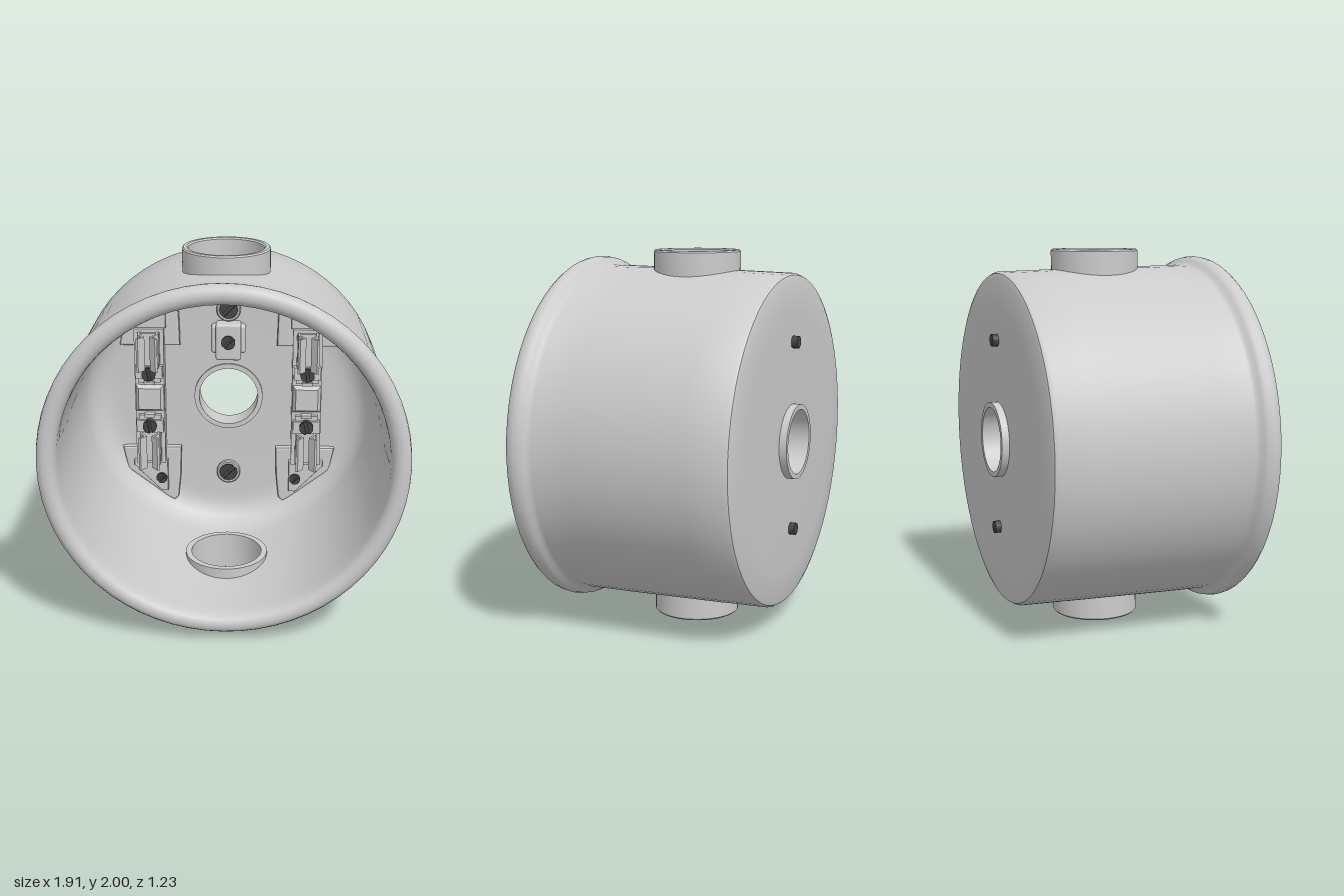
import * as THREE from 'three';
import { mergeGeometries, toCreasedNormals } from 'three/addons/utils/BufferGeometryUtils.js';
import { RoundedBoxGeometry } from 'three/addons/geometries/RoundedBoxGeometry.js';

const grey = new THREE.MeshStandardMaterial({ color: 0xcccccc });
const dark = new THREE.MeshStandardMaterial({ color: 0x444444 });
const SEG = 64, SECTOR = Math.PI / 8;
const PORT_Z = -0.03, HALF = 0.3, Z0 = PORT_Z - HALF, Z1 = PORT_Z + HALF;
const FLOOR = -0.49;
const outerR = z => 0.9 + 0.02 * z;
const innerR = z => 0.832 + 0.04 * z;

function add(parent, name, geometry, material = grey) {
  const mesh = new THREE.Mesh(geometry, material);
  mesh.name = name;
  parent.add(mesh);
  return mesh;
}

// Smooth normals with sharp corners, on a scaled copy so small details stay distinct
function crease(geometry, angle = 0.62) {
  geometry.scale(100, 100, 100);
  return toCreasedNormals(geometry, angle).scale(0.01, 0.01, 0.01);
}

const lathe = (points, segments = SEG, start = 0, length = Math.PI * 2) =>
  new THREE.LatheGeometry(points.map(p => new THREE.Vector2(...p)), segments, start, length);

// Lathe turned about the z axis; profile is [radius, z]
const turned = (...args) => lathe(...args).rotateX(Math.PI / 2);

function box(parent, name, x, y, w, h, z0, z1) {
  return add(parent, name, new THREE.BoxGeometry(w, h, z1 - z0).translate(x, y, (z0 + z1) / 2));
}

function prism(points, z0, z1, bevel = 0) {
  const shape = new THREE.Shape(points.map(p => new THREE.Vector2(...p)));
  return new THREE.ExtrudeGeometry(shape, {
    depth: z1 - z0 - bevel, bevelEnabled: bevel > 0, bevelSize: bevel,
    bevelThickness: bevel, bevelOffset: -bevel, bevelSegments: 2
  }).translate(0, 0, z0);
}

// Wall patch that blends a round port opening into a rectangle of the wall
function portPatch(side, outer) {
  const R = outer ? outerR : innerR, rings = 5, n = 32, pos = [], index = [];
  for (let i = 0; i < n; i++) {
    const t = (i % 8) / 4 - 1;
    const [u, v] = [[1, t], [-t, 1], [-1, -t], [t, -1]][Math.floor(i / 8)];
    const a = Math.atan2(v, u);
    const cz = PORT_Z + 0.215 * Math.sin(a);
    const ct = Math.asin(0.215 * Math.cos(a) / R(cz));
    for (let k = 0; k <= rings; k++) {
      const theta = THREE.MathUtils.lerp(ct, u * SECTOR, k / rings);
      const z = THREE.MathUtils.lerp(cz, PORT_Z + v * HALF, k / rings);
      pos.push(R(z) * Math.sin(theta), side * R(z) * Math.cos(theta), z);
      if (k === rings) continue;
      const p = i * (rings + 1) + k, q = ((i + 1) % n) * (rings + 1) + k;
      if ((side > 0) === outer) index.push(p, q, p + 1, q, q + 1, p + 1);
      else index.push(p, p + 1, q, q, p + 1, q + 1);
    }
  }
  const g = new THREE.BufferGeometry();
  g.setAttribute('position', new THREE.Float32BufferAttribute(pos, 3));
  g.setIndex(index);
  return g;
}

function housing() {
  const lip = [[outerR(Z1), Z1], [0.909, 0.48], [0.917, 0.5], [0.935, 0.512], [0.949, 0.532],
    [0.955, 0.56], [0.95, 0.587], [0.936, 0.607], [0.915, 0.617], [0.89, 0.617], [0.869, 0.607],
    [0.856, 0.59], [0.85, 0.565], [0.848, 0.5], [innerR(Z1), Z1]];
  const back = [[innerR(Z0), Z0], [0.809, -0.375], [0.79, -0.415], [0.762, -0.448], [0.725, -0.472],
    [0.68, -0.486], [0.62, FLOOR], [0.2, FLOOR], [0.2, -0.475], [0.172, -0.475], [0.172, -0.618],
    [0.2, -0.618], [0.2, -0.578], [0.7, -0.578], [0.855, -0.572], [0.877, -0.564], [0.888, -0.545],
    [outerR(Z0), Z0]];
  const parts = [turned(lip), turned(back)];
  for (const start of [SECTOR, Math.PI + SECTOR]) {
    const wall = pts => turned(pts, 24, start, Math.PI - 2 * SECTOR);
    parts.push(wall([[outerR(Z0), Z0], [outerR(Z1), Z1]]), wall([[innerR(Z1), Z1], [innerR(Z0), Z0]]));
  }
  for (const side of [1, -1]) for (const outer of [true, false]) parts.push(portPatch(side, outer));
  const bare = parts.map(g => {
    const p = g.toNonIndexed();
    for (const key of ['normal', 'uv']) p.deleteAttribute(key);
    return p;
  });
  return crease(mergeGeometries(bare)).translate(0, 1, 0);
}

// Slotted screw head facing the front, z is its top
function screw(parent, name, x, y, z, r, height, turn = Math.PI / 4) {
  const g = new THREE.Group();
  g.name = name;
  g.position.set(x, y, z);
  g.rotation.z = turn;
  add(g, 'screwBody', new THREE.CylinderGeometry(r, r, height, 20).rotateX(Math.PI / 2)
    .translate(0, 0, -height / 2 - 0.012), dark);
  for (const s of [0, Math.PI]) {
    const half = new THREE.Shape().absarc(0, 0, r, 0.2, Math.PI - 0.2, false);
    add(g, 'screwHeadHalf', new THREE.ExtrudeGeometry(half, { depth: 0.013, bevelEnabled: false, curveSegments: 10 })
      .translate(0, 0, -0.013).rotateZ(s), dark);
  }
  parent.add(g);
}

// Corner pad moulded into the floor, with the tab of the terminal strip on it
function cornerMount(parent, sx, sy) {
  const at = cy => ([x, y]) => [sx * x, cy + sy * y];
  const pad = [[0.28, 0.315], [0.63, 0.315], [0.6, 0.46], [0.36, 0.645], [0.325, 0.665], [0.3, 0.64], [0.285, 0.5]];
  add(parent, 'cornerPad', prism(pad.map(at(1)), FLOOR - 0.02, -0.455, 0.012));
  const tab = [[0.36, 0.41], [0.56, 0.41], [0.56, 0.44], [0.4, 0.605], [0.36, 0.605]];
  add(parent, 'stripTab', prism(tab.map(at(1.02)), -0.46, -0.42, 0.006));
  screw(parent, 'tabScrew', sx * 0.397, 1.03 + sy * 0.53, -0.405, 0.032, 0.04);
}

// Contact block with its screw and a sprung clip
function contact(parent, x, sy) {
  const y = d => 1.02 + sy * d;
  box(parent, 'contactBlock', x, y(0.165), 0.155, 0.075, -0.4, -0.35);
  box(parent, 'contactStep', x, y(0.115), 0.13, 0.03, -0.4, -0.365);
  box(parent, 'contactRidge', x, y(0.1), 0.06, 0.02, -0.4, -0.35);
  screw(parent, 'contactScrew', x, y(0.16), -0.325, 0.04, 0.03, Math.PI / 2 + 0.2);
  box(parent, 'clipBase', x, y(0.295), 0.125, 0.2, -0.4, -0.37);
  for (const s of [1, -1]) {
    const jaw = [[0.058, -0.38], [0.058, -0.33], [0.03, -0.285], [0.06, -0.25],
      [0.048, -0.243], [0.014, -0.285], [0.044, -0.335], [0.044, -0.38]];
    add(parent, 'clipJaw', prism(jaw.map(([u, d]) => [x + s * u, d]), -0.1, 0.1)
      .rotateX(Math.PI / 2).translate(0, y(0.3), 0));
  }
}

function terminalStrip(parent, sx) {
  const g = new THREE.Group(), x = sx * 0.455;
  g.name = 'terminalStrip';
  box(g, 'stripBar', x, 1.02, 0.17, 0.83, FLOOR, -0.39);
  // Tapered centre seat
  const seat = new THREE.CylinderGeometry(0.09, 0.115, 0.03, 4, 1).rotateY(Math.PI / 4).rotateX(Math.PI / 2);
  add(g, 'centreSeat', seat.toNonIndexed().translate(x, 1.02, -0.376)).geometry.computeVertexNormals();
  for (const sy of [1, -1]) {
    contact(g, x, sy);
    cornerMount(g, sx, sy);
  }
  parent.add(g);
}

export function createModel() {
  const model = new THREE.Group();
  model.name = 'junctionBox';
  add(model, 'housing', housing());

  // Round entry necks at top and bottom
  const neck = [[0.2, 0.78], [0.233, 0.78], [0.233, 0.992], [0.226, 1], [0.208, 1], [0.2, 0.992], [0.2, 0.78]];
  for (const turn of [0, Math.PI]) {
    add(model, turn ? 'bottomNeck' : 'topNeck',
      crease(lathe(neck, 40).rotateZ(turn)).translate(0, 1, PORT_Z));
  }

  // Floor screws that pass through the back, each in a raised collar
  const collar = [[0.07, FLOOR - 0.01], [0.07, -0.468], [0.064, -0.462], [0.054, -0.462], [0.05, -0.48]];
  for (const y of [1.53, 0.52]) {
    add(model, 'screwCollar', crease(turned(collar, 28)).translate(0, y, 0));
    screw(model, 'floorScrew', 0, y, -0.458, 0.052, 0.03);
    add(model, 'screwEnd', new THREE.CylinderGeometry(0.033, 0.033, 0.13, 16).rotateX(Math.PI / 2)
      .translate(0, y, -0.545), dark);
  }

  // Earth terminal block
  add(model, 'earthBlock', new RoundedBoxGeometry(0.145, 0.215, 0.1, 3, 0.015).translate(0, 1.352, -0.45));
  add(model, 'earthBlockFlange', new RoundedBoxGeometry(0.2, 0.17, 0.07, 3, 0.02).translate(0, 1.362, -0.465));
  screw(model, 'earthScrew', 0, 1.355, -0.385, 0.04, 0.03);

  for (const sx of [1, -1]) terminalStrip(model, sx);
  return model;
}
